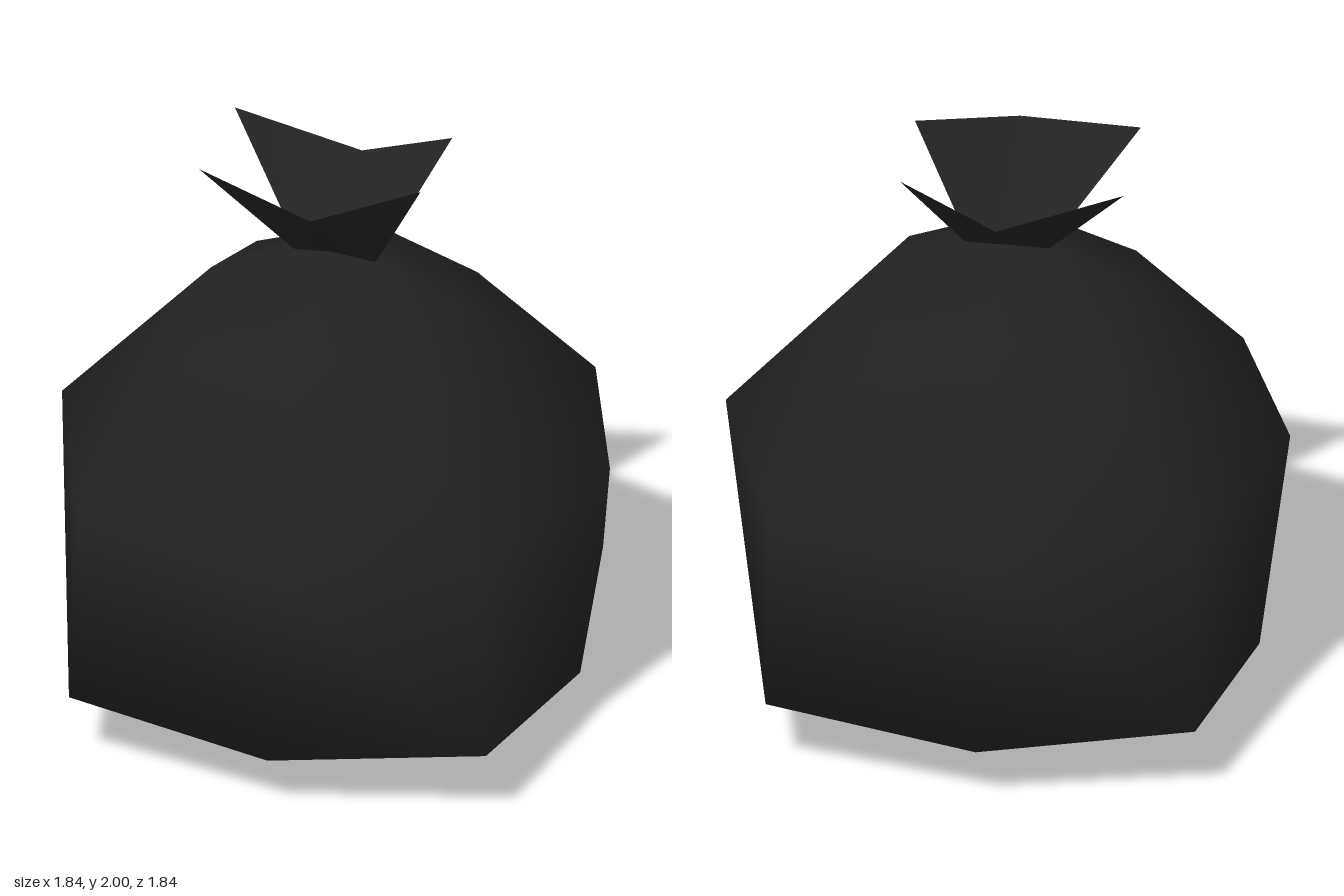
import * as THREE from 'three';
import { mergeVertices } from 'three/addons/utils/BufferGeometryUtils.js';

const blackPlastic = new THREE.MeshStandardMaterial({ color: 0x222222, side: THREE.DoubleSide });
blackPlastic.name = 'blackPlastic';

// Swollen sack: a cube split in 2 x 2 per face, each level pushed to its own size.
// Per level: [radius, height] of the centre, the axis points and the diagonal points.
const LEVELS = {
  '-1': { centre: [0, 0], axis: [0.82, 0.21], diagonal: [0.70, 0.27] },
  '0': { centre: [0, 0.99], axis: [0.92, 0.99], diagonal: [0.68, 0.95] },
  '1': { centre: [0, 1.71], axis: [0.42, 1.53], diagonal: [0.37, 1.43] },
};

function sackGeometry() {
  const box = new THREE.BoxGeometry(2, 2, 2, 2, 2, 2);
  box.deleteAttribute('uv');
  box.deleteAttribute('normal');
  const pos = box.attributes.position;
  for (let i = 0; i < pos.count; i++) {
    const x = Math.round(pos.getX(i)), y = Math.round(pos.getY(i)), z = Math.round(pos.getZ(i));
    const kind = ['centre', 'axis', 'diagonal'][Math.abs(x) + Math.abs(z)];
    const [r, h] = LEVELS[String(y + 0)][kind];
    pos.setXYZ(i, x * r, h, z * r);
  }
  // Turn the diagonal of every quad so the folds wind round the bag
  const src = box.index.array, index = [];
  for (let i = 0; i < src.length; i += 6) {
    const a = src[i], b = src[i + 1], d = src[i + 2], c = src[i + 4];
    index.push(a, b, c, a, c, d);
  }
  box.setIndex(index);
  const geometry = mergeVertices(box);
  geometry.computeVertexNormals();
  return geometry;
}

// Open flap between a three-point base and a three-point rim, both from -x to +x
function flapGeometry(base, rim) {
  const geometry = new THREE.BufferGeometry();
  geometry.setAttribute('position', new THREE.Float32BufferAttribute([...base, ...rim].flat(), 3));
  geometry.setIndex([0, 1, 4, 0, 4, 3, 1, 2, 4, 2, 5, 4]);
  geometry.computeVertexNormals();
  return geometry;
}

export function createModel() {
  const group = new THREE.Group();
  group.name = 'tiedBag';
  const add = (name, geometry) => {
    const mesh = new THREE.Mesh(geometry, blackPlastic);
    mesh.name = name;
    group.add(mesh);
  };

  add('sack', sackGeometry());

  // Two loose ends above the knot
  add('frontFlap', flapGeometry(
    [[-0.14, 1.65, 0.01], [0, 1.66, 0.03], [0.14, 1.65, 0.02]],
    [[-0.41, 2, 0.18], [0, 1.94, 0.31], [0.32, 2, 0.13]]));
  // Listed from +x to -x so its outside faces the back
  add('backFlap', flapGeometry(
    [[0.14, 1.65, -0.02], [0, 1.66, -0.05], [-0.14, 1.65, -0.03]],
    [[0.32, 1.99, -0.25], [0, 1.86, -0.31], [-0.41, 1.99, -0.25]]));

  return group;
}
